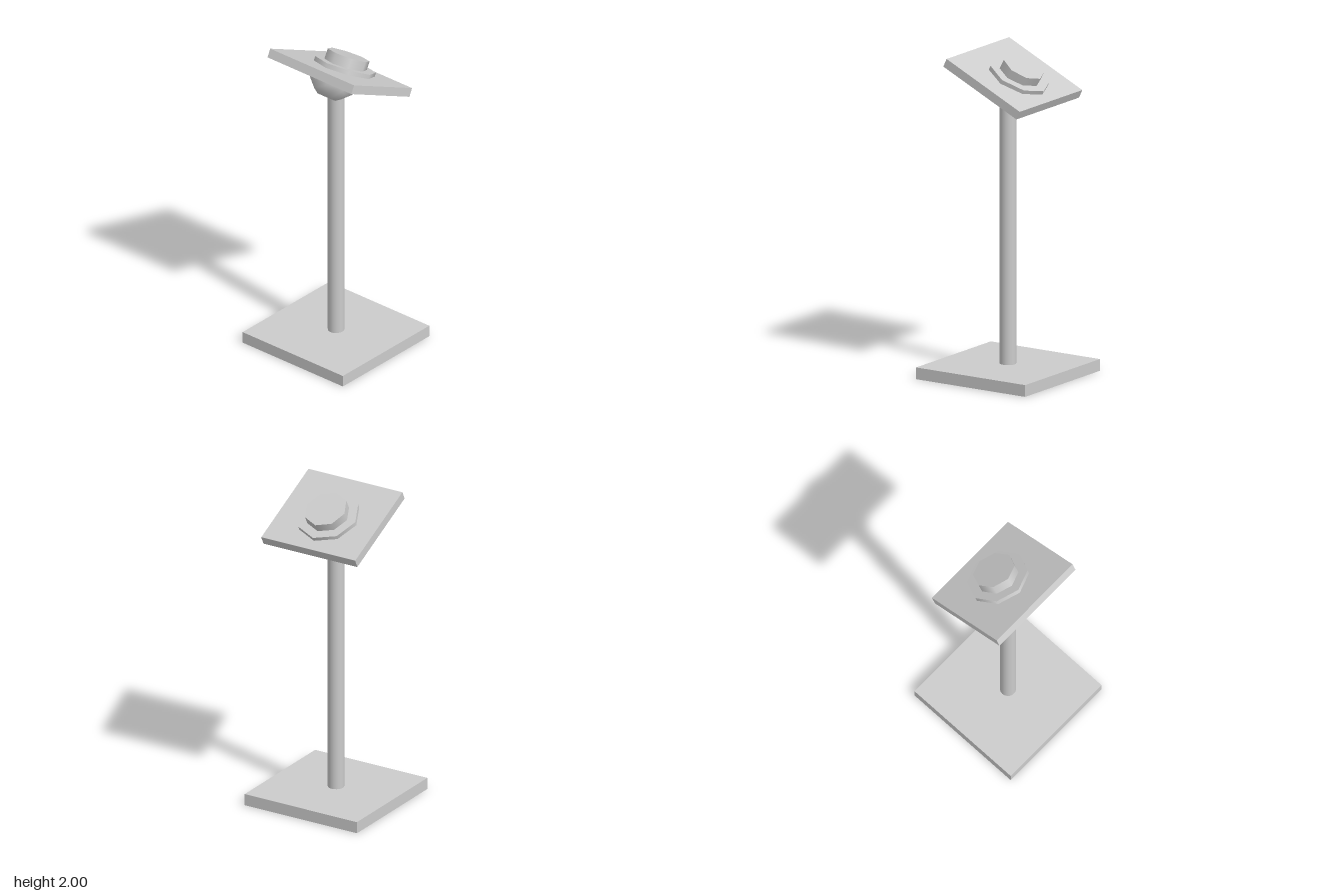
import * as THREE from 'three';

export function createModel() {
  const model = new THREE.Group();
  const material = new THREE.MeshStandardMaterial({ color: 0xcccccc });

  // Adds a named part at (0, y, z), leaning back by tilt radians
  function add(name, geometry, y, z = 0, tilt = 0) {
    const mesh = new THREE.Mesh(geometry, material);
    mesh.name = name;
    mesh.position.set(0, y, z);
    mesh.rotation.x = -tilt;
    model.add(mesh);
  }

  // Octagonal disc whose top face centre sits at (0, y, z)
  function addDisc(name, radius, height, y, z, tilt) {
    const geometry = new THREE.CylinderGeometry(radius, radius, height, 8);
    geometry.translate(0, -height / 2, 0);
    add(name, geometry, y, z, tilt);
  }

  const plateTilt = 0.445;

  // Stand
  add('base', new THREE.BoxGeometry(0.8, 0.073, 0.796), 0.0365);
  add('post', new THREE.CylinderGeometry(0.05, 0.05, 1.68, 20), 0.91);

  // Half-ball joint under the plate, its poles pointing sideways
  const joint = new THREE.SphereGeometry(0.16, 8, 5, 0, Math.PI);
  joint.rotateZ(Math.PI / 2).rotateX(Math.PI / 2);
  add('ballJoint', joint, 1.852, 0, plateTilt);

  // Tilted plate with a stepped button on top
  add('plate', new THREE.BoxGeometry(0.67, 0.056, 0.592), 1.8475, -0.035, plateTilt);
  addDisc('buttonCollar', 0.193, 0.03, 1.883, -0.088, 0.455);
  addDisc('button', 0.134, 0.075, 1.936, -0.117, 0.5);

  return model;
}
